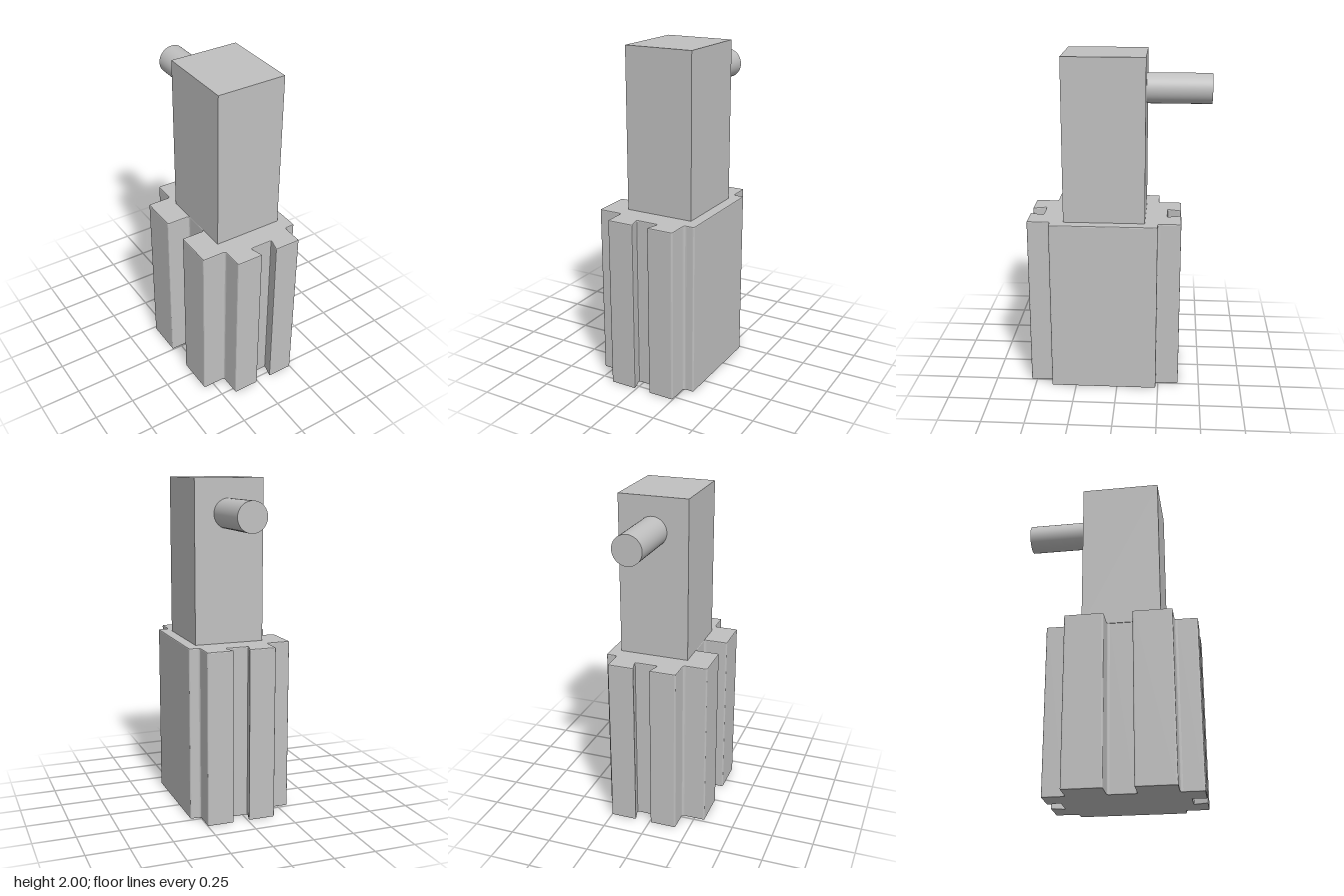
import * as THREE from 'three';

const steel = new THREE.MeshStandardMaterial({ color: 0xc0c0c0 });
steel.name = 'grey steel';

// Closed outline through [x, z, r] corners, each rounded by r (0 keeps it sharp)
function roundedOutline(corners) {
  const shape = new THREE.Shape();
  const n = corners.length;
  const at = i => new THREE.Vector2(corners[(i + n) % n][0], -corners[(i + n) % n][1]);
  for (let i = 0; i < n; i++) {
    const p = at(i), r = corners[i][2];
    const a = at(i - 1).sub(p).setLength(r).add(p);
    const b = at(i + 1).sub(p).setLength(r).add(p);
    if (i === 0) shape.moveTo(a.x, a.y);
    else shape.lineTo(a.x, a.y);
    if (r > 0) shape.quadraticCurveTo(p.x, p.y, b.x, b.y);
  }
  shape.closePath();
  return shape;
}

export function createModel() {
  const model = new THREE.Group();
  model.name = 'slottedBlockWithPost';

  const add = (name, geometry, x, y, z) => {
    const mesh = new THREE.Mesh(geometry, steel);
    mesh.name = name;
    mesh.position.set(x, y, z);
    model.add(mesh);
    return mesh;
  };

  // Slotted base: dovetail grooves front and back, square notch on the -x side
  const OUT = 0.01, IN = 0.015, MID = 0.081;
  const front = [
    [0.314, 0.398, OUT], [0.25, 0.398, IN], [0.25, 0.534, OUT],
    [0.088, 0.534, OUT], [0.111, 0.452, OUT],
    [-0.029, 0.452, OUT], [-0.006, 0.534, OUT],
    [-0.17, 0.534, OUT], [-0.17, 0.398, IN], [-0.315, 0.398, OUT],
    [-0.315, 0.165, OUT], [-0.17, 0.165, IN],
  ];
  const back = front.map(([x, z, r]) => [x, 2 * MID - z, r]).reverse();
  const bevel = 0.006, height = 1.04;
  const base = new THREE.ExtrudeGeometry(roundedOutline([...front, ...back]), {
    depth: height - 2 * bevel, curveSegments: 4,
    bevelThickness: bevel, bevelSize: bevel, bevelOffset: -bevel, bevelSegments: 2,
  });
  base.rotateX(-Math.PI / 2);
  add('slottedBase', base, 0, bevel, 0);

  // Square-edged post rising from the base
  add('post', new THREE.BoxGeometry(0.42, 2 - height, 0.477), 0.04, (2 + height) / 2, 0.079);

  // Round pin out of the back of the post
  const pin = new THREE.CylinderGeometry(0.088, 0.088, 0.375, 48);
  pin.rotateX(Math.PI / 2);
  add('backPin', pin, 0.046, 1.797, -0.3465);

  return model;
}
